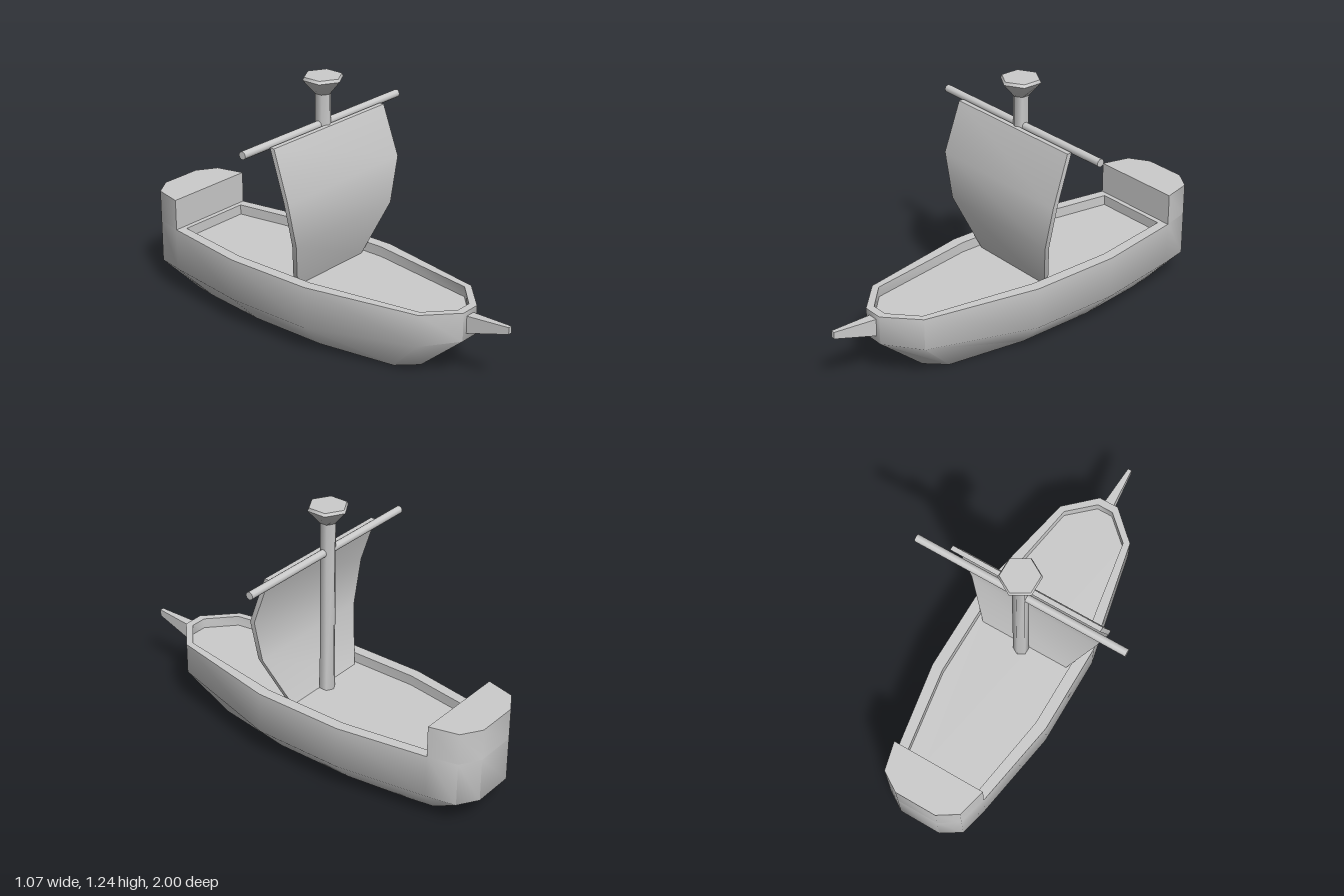
import * as THREE from 'three';
import { toCreasedNormals } from 'three/addons/utils/BufferGeometryUtils.js';

const material = new THREE.MeshStandardMaterial({ color: 0xcccccc });

// Skin a list of equal-length rings and cap both ends.
function loft(rings, crease) {
  const pos = [];
  const tri = (a, b, c) => pos.push(...a, ...b, ...c);
  const n = rings[0].length;
  for (let r = 0; r < rings.length - 1; r++) {
    const a = rings[r], b = rings[r + 1];
    for (let i = 0; i < n; i++) {
      const j = (i + 1) % n;
      tri(a[i], b[i], b[j]);
      tri(a[i], b[j], a[j]);
    }
  }
  const first = rings[0], last = rings[rings.length - 1];
  for (let i = 1; i < n - 1; i++) {
    tri(first[0], first[i], first[i + 1]);
    tri(last[0], last[i + 1], last[i]);
  }
  const geo = new THREE.BufferGeometry();
  geo.setAttribute('position', new THREE.Float32BufferAttribute(pos, 3));
  return toCreasedNormals(geo, crease);
}

// Close a half outline of [x, z] points at height y (number or one per point).
function mirrored(half, y) {
  const side = half.map(([x, z], i) => [x, Array.isArray(y) ? y[i] : y, z]);
  return [...side, ...side.map(([x, h, z]) => [-x, h, z]).reverse()];
}

export function createModel() {
  const ship = new THREE.Group();
  ship.name = 'sailingShip';
  const add = (name, geometry, x = 0, y = 0, z = 0) => {
    const mesh = new THREE.Mesh(geometry, material);
    mesh.name = name;
    mesh.position.set(x, y, z);
    ship.add(mesh);
    return mesh;
  };

  // Hull half outlines, from stern to bow
  const keel = [[0.06, -0.8], [0.12, -0.77], [0.14, -0.66], [0.18, -0.33], [0.18, 0.07], [0.12, 0.46], [0.035, 0.55]];
  const rail = [[0.105, -1], [0.2, -0.94], [0.235, -0.8], [0.31, -0.36], [0.31, 0.09], [0.195, 0.65], [0.05, 0.787]];
  const well = [[0.1, -0.775], [0.15, -0.775], [0.19, -0.775], [0.255, -0.36], [0.255, 0.08], [0.165, 0.635], [0.04, 0.75]];
  const bilge = [0.13, 0.13, 0.135, 0.14, 0.14, 0.19, 0.205];
  const railY = 0.345, deckY = 0.295;
  add('hull', loft([
    mirrored(keel, 0), mirrored(rail, bilge), mirrored(rail, railY),
    mirrored(well, railY), mirrored(well, deckY),
  ], 1.0));

  // Raised stern
  const stern = rail.slice(0, 3);
  add('sternCastle', loft([mirrored(stern, railY), mirrored(stern, 0.5)], 1.0));

  // Bowsprit, tapering forward: [z, half width, bottom, top]
  add('bowsprit', loft([[0.765, 0.026, 0.23, 0.32], [1, 0.01, 0.297, 0.33]].map(([z, w, b, t]) =>
    [[-w, t, z], [w, t, z], [w, b, z], [-w, b, z]]), 0.5));

  // Mast and lookout
  const mastZ = -0.062;
  const hexagon = (top, bottom, y0, y1) =>
    toCreasedNormals(new THREE.CylinderGeometry(top, bottom, y1 - y0, 6).translate(0, (y0 + y1) / 2, 0), 1.1);
  add('mast', hexagon(0.038, 0.038, deckY - 0.01, 1.16), 0, 0, mastZ);
  add('lookout', hexagon(0.097, 0.038, 1.155, 1.224), 0, 0, mastZ);
  add('lookoutRim', hexagon(0.09, 0.097, 1.224, 1.238), 0, 0, mastZ);

  // Yard
  add('yard', new THREE.CylinderGeometry(0.019, 0.019, 1.066, 10).rotateZ(Math.PI / 2), 0, 1.01, mastZ);

  // Billowing sail: [y, half width, front z]
  const sail = [[0.29, 0.228, -0.018], [0.55, 0.335, 0.072], [0.77, 0.386, 0.072], [1.01, 0.38, -0.012]];
  add('sail', loft(sail.map(([y, w, z]) =>
    [[w, y, z - 0.024], [w, y, z], [-w, y, z], [-w, y, z - 0.024]]), 0.8), -0.005);

  return ship;
}
